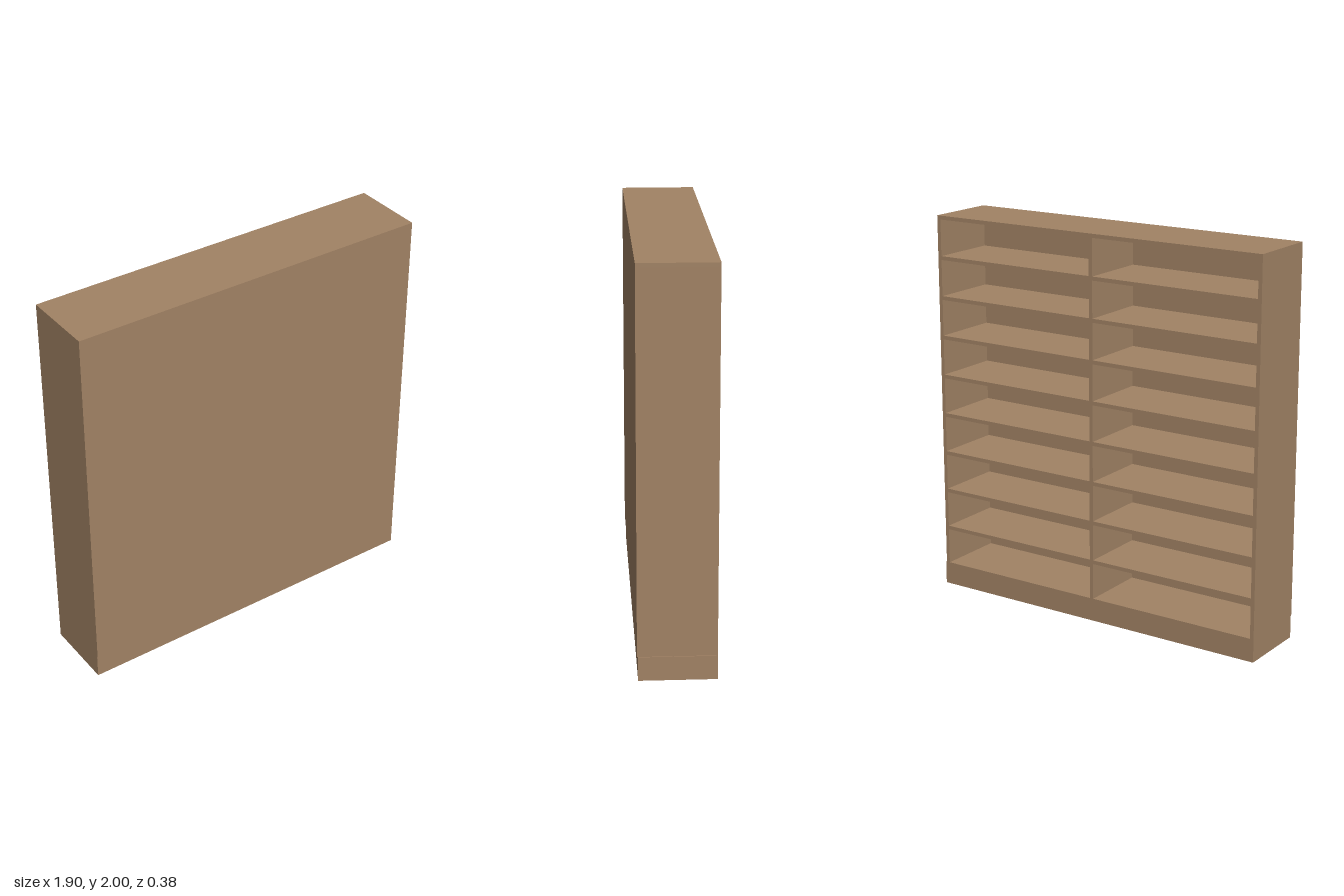
import * as THREE from 'three';

export function createModel() {
  const group = new THREE.Group();
  group.name = 'shelfUnit';
  const wood = new THREE.MeshStandardMaterial({ color: 0xa28365 });
  wood.name = 'wood';

  // Box given by its lower and upper limits on each axis
  const board = (name, [x0, x1], [y0, y1], [z0, z1]) => {
    const mesh = new THREE.Mesh(new THREE.BoxGeometry(x1 - x0, y1 - y0, z1 - z0), wood);
    mesh.position.set((x0 + x1) / 2, (y0 + y1) / 2, (z0 + z1) / 2);
    mesh.name = name;
    group.add(mesh);
  };

  const t = 0.02, left = 0.945, right = -0.95, back = -0.19, front = 0.19;
  const baseTop = 0.12, top = 2, panelBack = front - t;
  const middle = (left + right) / 2;

  // Plinth and outer case, open at the back
  board('base', [-0.95, 0.95], [0, baseTop], [back, 0.185]);
  board('frontPanel', [right, left], [baseTop, top], [panelBack, front]);
  board('topBoard', [right, left], [top - t, top], [back, panelBack]);
  board('rightSide', [right, right + t], [baseTop, top - t], [back, panelBack]);
  board('leftSide', [left - t, left], [baseTop, top - t], [back, panelBack]);
  board('divider', [middle - t / 2, middle + t / 2], [baseTop, top - t], [back, panelBack]);

  // Nine equal bays in two columns
  const bays = 9;
  const pitch = (top - baseTop) / bays;
  const columns = [[right + t, middle - t / 2], [middle + t / 2, left - t]];
  for (let i = 1; i < bays; i++) {
    const y = baseTop + i * pitch;
    for (const span of columns) board('shelf', span, [y - t, y], [back, panelBack]);
  }
  return group;
}
